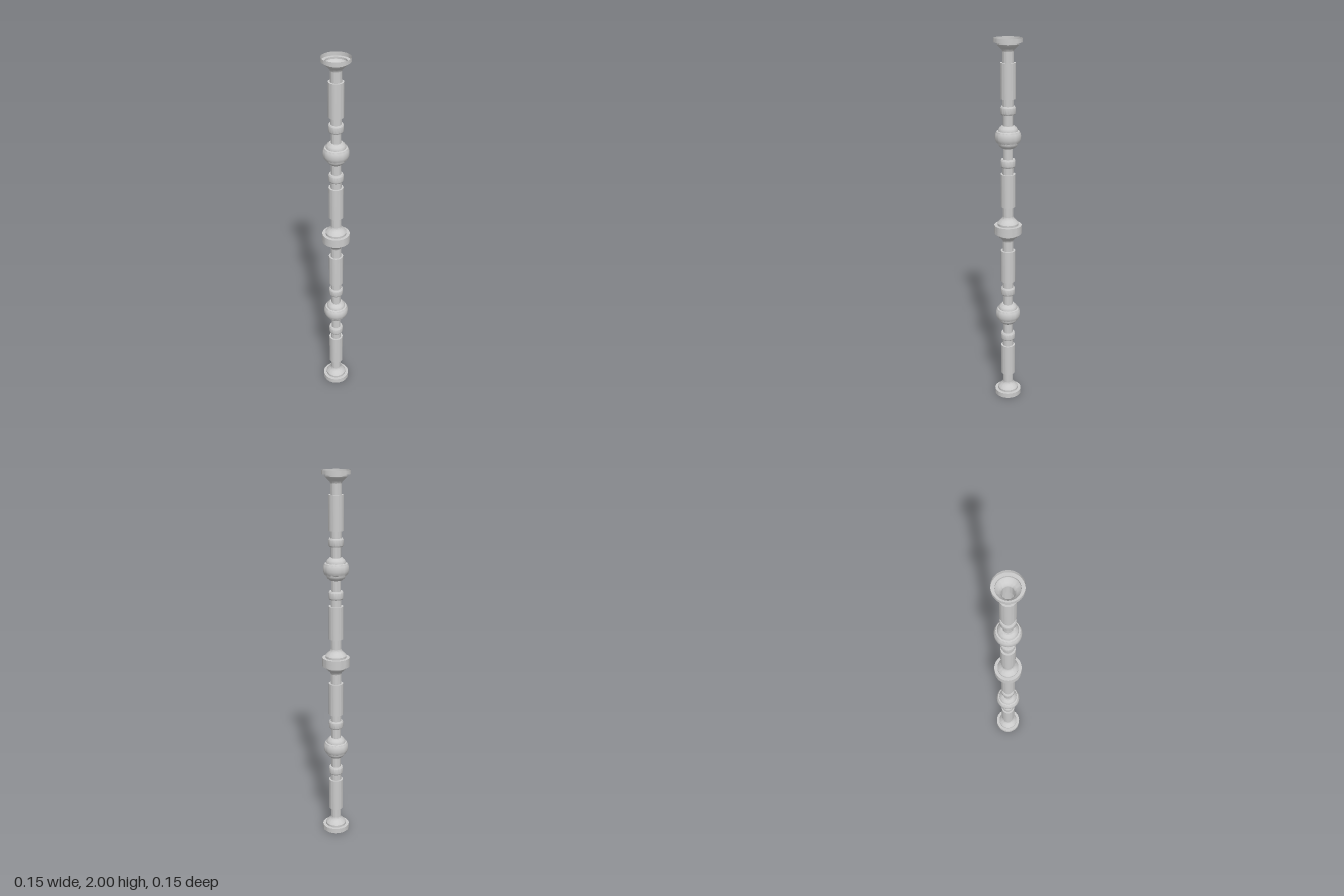
import * as THREE from 'three';
import { toCreasedNormals } from 'three/addons/utils/BufferGeometryUtils.js';

const material = new THREE.MeshStandardMaterial({ color: 0xcccccc, side: THREE.DoubleSide });

// Turned thin shell from [radius, height] pairs, listed bottom to top
function turned(name, profile) {
  const points = profile.map(([r, y]) => new THREE.Vector2(r, y));
  const geometry = toCreasedNormals(new THREE.LatheGeometry(points, 48), Math.PI / 6);
  const mesh = new THREE.Mesh(geometry, material);
  mesh.name = name;
  return mesh;
}

// Small collar with softened edges; r0 and r1 are the neck radii it joins
function collar(y0, y1, r0, r1) {
  return [[r0, y0], [0.036, y0], [0.04, y0 + 0.007], [0.04, y1 - 0.007], [0.036, y1], [r1, y1]];
}

// Straight sleeve standing slightly proud of the necks
function sleeve(y0, y1) {
  return [[0.03, y0], [0.04, y0], [0.04, y1], [0.03, y1]];
}

// One hollow baluster segment, one unit tall, open at both ends
function createSegment() {
  const segment = new THREE.Group();
  segment.add(
    turned('bottomFlange', [[0.074, 0], [0.074, 0.027], [0.057, 0.027]]),
    turned('bottomFlare', [[0.057, 0.027], [0.057, 0.038], [0.052, 0.046], [0.04, 0.057], [0.032, 0.066], [0.03, 0.075]]),
    turned('bottomNeck', [[0.03, 0.075], [0.03, 0.13]]),
    turned('lowerSleeve', sleeve(0.13, 0.308)),
    turned('lowerSleeveNeck', [[0.03, 0.308], [0.03, 0.345]]),
    turned('lowerCollar', collar(0.345, 0.388, 0.03, 0.027)),
    turned('lowerKnobNeck', [[0.027, 0.388], [0.027, 0.447]]),
    turned('knob', [
      [0.027, 0.447], [0.035, 0.447], [0.047, 0.458], [0.052, 0.468], [0.052, 0.474],
      [0.06, 0.476], [0.065, 0.485], [0.068, 0.497], [0.068, 0.513], [0.065, 0.525],
      [0.06, 0.534], [0.052, 0.536], [0.052, 0.542], [0.047, 0.552], [0.035, 0.563], [0.027, 0.563],
    ]),
    turned('upperKnobNeck', [[0.027, 0.563], [0.027, 0.62]]),
    turned('upperCollar', collar(0.62, 0.663, 0.027, 0.03)),
    turned('upperSleeveNeck', [[0.03, 0.663], [0.03, 0.7]]),
    turned('upperSleeve', sleeve(0.7, 0.88)),
    turned('topNeck', [[0.03, 0.88], [0.03, 0.935]]),
    turned('topFlare', [[0.03, 0.935], [0.032, 0.942], [0.04, 0.951], [0.052, 0.962], [0.057, 0.97], [0.057, 0.98]]),
    turned('topFlange', [[0.057, 0.98], [0.074, 0.98], [0.074, 1]]),
  );
  return segment;
}

export function createModel() {
  const model = new THREE.Group();
  model.name = 'turnedPost';
  // Two identical segments stacked end to end
  ['lowerSegment', 'upperSegment'].forEach((name, i) => {
    const segment = createSegment();
    segment.name = name;
    segment.position.y = i;
    model.add(segment);
  });
  return model;
}
